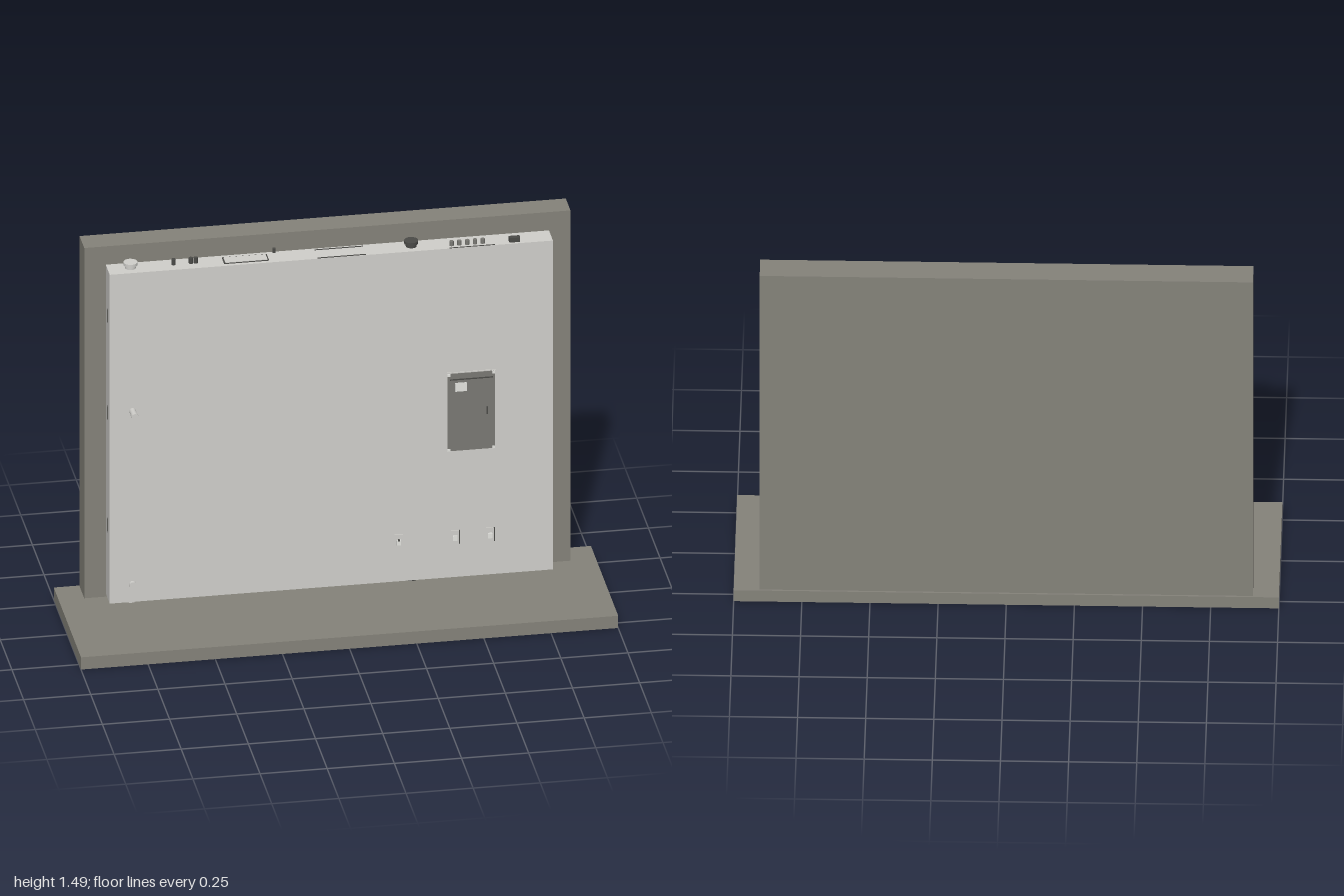
import * as THREE from 'three';

const mat = (name, color) => {
  const m = new THREE.MeshStandardMaterial({ color });
  m.name = name;
  return m;
};

export function createModel() {
  const stone = mat('warm grey', 0x85837a);
  const panel = mat('light grey', 0xd0cfcb);
  const doorGrey = mat('door grey', 0x7a7974);
  const dark = mat('dark grey', 0x4a4a47);
  const white = mat('label white', 0xe4e4e0);

  const model = new THREE.Group();
  model.name = 'wallCabinet';

  const add = (name, geometry, material, x, y, z) => {
    const mesh = new THREE.Mesh(geometry, material);
    mesh.name = name;
    mesh.position.set(x, y, z);
    model.add(mesh);
    return mesh;
  };
  // Box given by its lower and upper limits on each axis
  const box = (name, material, [x0, x1], [y0, y1], [z0, z1]) =>
    add(name, new THREE.BoxGeometry(x1 - x0, y1 - y0, z1 - z0), material,
      (x0 + x1) / 2, (y0 + y1) / 2, (z0 + z1) / 2);
  const post = (name, material, r, h, x, y, z) =>
    add(name, new THREE.CylinderGeometry(r, r, h, 24), material, x, y, z);
  const frontPost = (name, material, r, x, y, z0, z1) => {
    const mesh = post(name, material, r, z1 - z0, x, y, (z0 + z1) / 2);
    mesh.rotation.x = Math.PI / 2;
    return mesh;
  };

  const top = 1.41, bottom = 0.063, front = -0.1;

  // Floor slab, wall and cabinet body
  box('floorSlab', stone, [-1, 1], [0, 0.05], [-0.292, 0.292]);
  box('wall', stone, [-0.905, 0.905], [0.05, 1.485], [-0.285, -0.185]);
  box('cabinetBody', panel, [-0.825, 0.825], [bottom, top], [-0.185, front]);

  // Slots down both sides, with rounded corners
  const slot = new THREE.Shape();
  const w = 0.013, h = 0.028, r = 0.006;
  slot.moveTo(-w + r, -h);
  slot.lineTo(w - r, -h).quadraticCurveTo(w, -h, w, -h + r);
  slot.lineTo(w, h - r).quadraticCurveTo(w, h, w - r, h);
  slot.lineTo(-w + r, h).quadraticCurveTo(-w, h, -w, h - r);
  slot.lineTo(-w, -h + r).quadraticCurveTo(-w, -h, -w + r, -h);
  const slotGeometry = new THREE.ShapeGeometry(slot);
  for (const side of [-1, 1]) {
    for (const y of [0.365, 0.825, 1.222]) {
      add('sideSlot', slotGeometry, doorGrey, side * 0.826, y, -0.14).rotation.y = side * Math.PI / 2;
    }
  }

  // Recessed-looking control door with frame, header, label and latch
  box('doorFrame', panel, [0.428, 0.612], [0.578, 0.902], [front, -0.097]);
  box('door', doorGrey, [0.432, 0.608], [0.582, 0.898], [front, -0.095]);
  box('doorHeader', dark, [0.44, 0.6], [0.872, 0.876], [front, -0.092]);
  box('doorLabel', white, [0.46, 0.503], [0.825, 0.86], [front, -0.092]);
  box('doorLatch', dark, [0.576, 0.582], [0.727, 0.755], [front, -0.088]);
  for (const x of [0.437, 0.603]) {
    for (const y of [0.587, 0.893]) box('doorCorner', white, [x - 0.005, x + 0.005], [y - 0.005, y + 0.005], [front, -0.092]);
  }

  // Round fittings on the front
  frontPost('pipeStub', panel, 0.012, -0.74, 0.845, front, -0.055);
  frontPost('pipeCap', panel, 0.014, -0.74, 0.845, -0.055, -0.045);
  frontPost('drainPlug', panel, 0.014, -0.74, 0.135, front, -0.088);

  // Three small switches low on the front
  for (const x of [0.25, 0.46, 0.59]) {
    box('switchPlate', panel, [x - 0.015, x + 0.017], [0.2, 0.255], [front, -0.096]);
    box('switchLever', white, [x - 0.008, x + 0.008], [0.215, 0.235], [-0.096, -0.09]);
    if (x > 0.3) box('switchEdge', dark, [x + 0.014, x + 0.018], [0.2, 0.255], [front, -0.095]);
    else box('switchDot', dark, [x - 0.003, x + 0.003], [0.232, 0.238], [front, -0.089]);
  }

  // Large couplings on top and underneath
  for (const [x, material] of [[-0.74, panel], [0.305, dark]]) {
    post('coupling', material, 0.026, 0.012, x, 1.428, -0.145);
    post('couplingNeck', material, 0.02, 0.014, x, 1.415, -0.145);
    post('bottomCoupling', material, 0.026, 0.014, x, 0.057, -0.145);
  }

  // Small sockets along the top
  for (const x of [-0.58, -0.515, -0.497]) post('topPin', dark, 0.008, 0.024, x, 1.42, -0.145);
  for (let i = 0; i < 5; i++) post('topSocket', doorGrey, 0.008, 0.02, 0.452 + i * 0.029, 1.418, -0.125);
  post('topScrew', dark, 0.006, 0.02, -0.2, 1.418, -0.178);
  box('topPlug', dark, [0.665, 0.705], [top, 1.428], [-0.13, -0.11]);
  box('plugRibbon', dark, [0.44, 0.61], [top, 1.412], [-0.104, -0.101]);

  // Access covers on top: light plates with dark seams
  box('topCoverSeam', dark, [-0.396, -0.229], [top, 1.412], [-0.168, -0.115]);
  box('topCover', panel, [-0.391, -0.234], [top, 1.414], [-0.163, -0.119]);
  for (const z of [-0.172, -0.104]) box('topSlit', dark, [-0.05, 0.13], [top, 1.412], [z - 0.002, z + 0.002]);

  return model;
}
